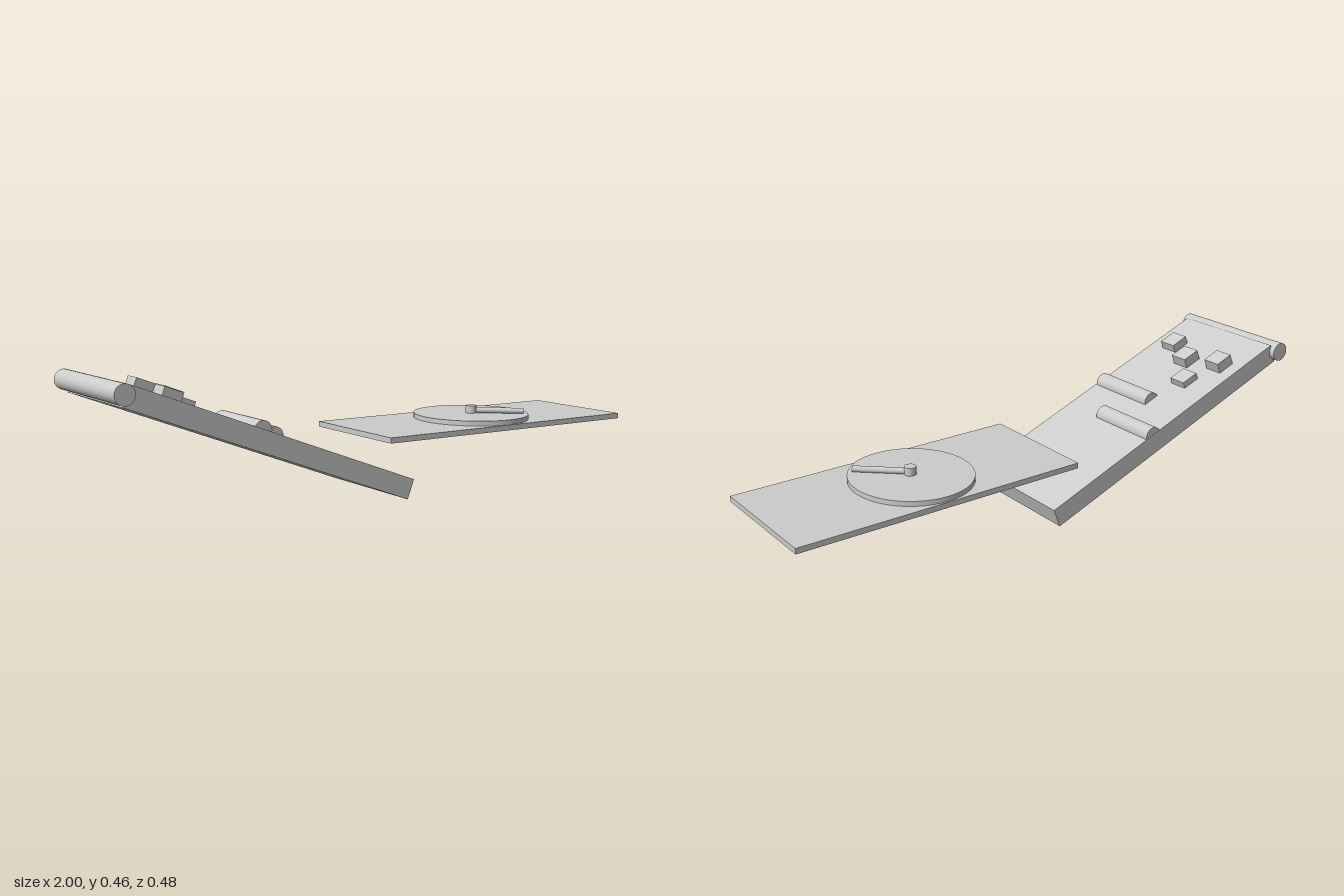
import * as THREE from 'three';

const material = new THREE.MeshStandardMaterial({ color: 0xcccccc });

function addMesh(parent, name, geometry, x, y, z) {
  const mesh = new THREE.Mesh(geometry, material);
  mesh.name = name;
  mesh.position.set(x, y, z);
  parent.add(mesh);
  return mesh;
}

// Cylinder lying along z
function addRoller(parent, name, radius, length, x, y, z) {
  const geometry = new THREE.CylinderGeometry(radius, radius, length, 32).rotateX(Math.PI / 2);
  return addMesh(parent, name, geometry, x, y, z);
}

export function createModel() {
  const model = new THREE.Group();
  model.name = 'rampAndPlatform';

  // Ramp: local origin at the lower top edge, local -x runs uphill
  const ramp = new THREE.Group();
  ramp.name = 'ramp';
  ramp.position.set(0.06, 0.065, 0);
  ramp.rotation.z = THREE.MathUtils.degToRad(-21);
  model.add(ramp);

  const length = 1.07, thickness = 0.07;
  addMesh(ramp, 'rampSlab', new THREE.BoxGeometry(length, thickness, 0.438), -length / 2, -thickness / 2, 0);
  addRoller(ramp, 'endRoller', 0.033, 0.48, -1.087, -0.034, 0);

  // Half-sunken bars across the ramp
  addRoller(ramp, 'upperBar', 0.032, 0.27, -0.607, -0.005, 0.078);
  addRoller(ramp, 'lowerBar', 0.032, 0.27, -0.464, -0.005, -0.083);

  // Small blocks: [downhill edge, height, z]
  const blocks = [
    [-0.872, 0.03, 0.123],
    [-0.817, 0.037, 0.003],
    [-0.85, 0.039, -0.136],
    [-0.72, 0.024, -0.084],
  ];
  for (const [edge, height, z] of blocks) {
    const sunk = 0.02;
    addMesh(ramp, 'block', new THREE.BoxGeometry(0.067, height + sunk, 0.068), edge - 0.0335, (height - sunk) / 2, z);
  }

  // Flat platform
  const platform = new THREE.Group();
  platform.name = 'platform';
  model.add(platform);
  addMesh(platform, 'platformPlate', new THREE.BoxGeometry(1.037, 0.019, 0.446), 0.4815, 0.2045, 0);

  // Slightly oval disc
  const disc = addMesh(platform, 'disc', new THREE.CylinderGeometry(1, 1, 0.018, 48), 0.474, 0.222, 0);
  disc.scale.set(0.202, 1, 0.218);

  // Hub with a pointer arm
  addMesh(platform, 'hub', new THREE.CylinderGeometry(0.02, 0.02, 0.03, 24), 0.477, 0.243, 0);
  const start = new THREE.Vector3(0.483, 0.241, 0.004);
  const end = new THREE.Vector3(0.617, 0.241, 0.127);
  const arm = addMesh(platform, 'pointerArm', new THREE.CylinderGeometry(0.0105, 0.0105, start.distanceTo(end), 16), 0, 0, 0);
  arm.position.copy(start).add(end).multiplyScalar(0.5);
  arm.quaternion.setFromUnitVectors(new THREE.Vector3(0, 1, 0), end.clone().sub(start).normalize());

  return model;
}
